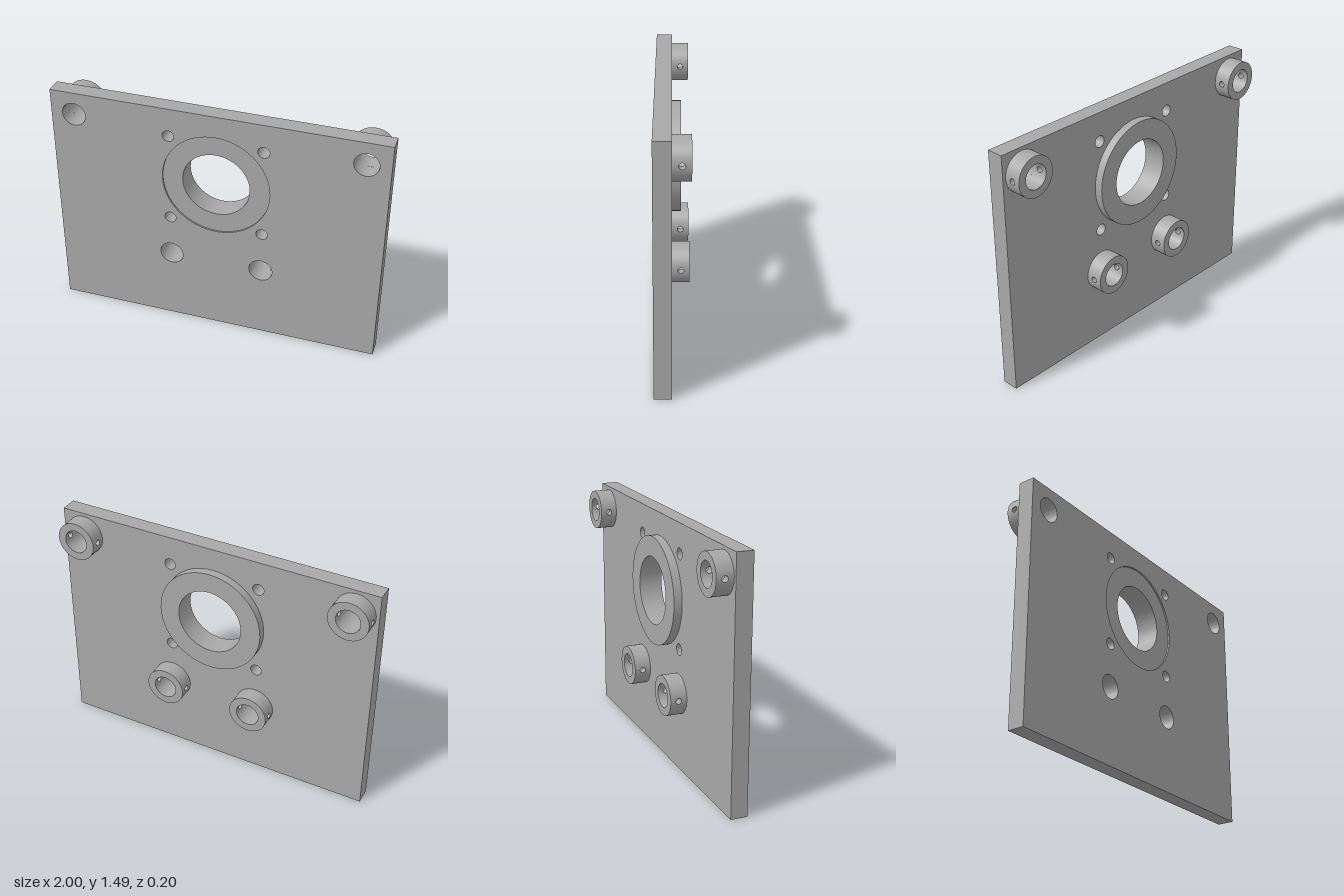
import * as THREE from 'three';
import { mergeGeometries, toCreasedNormals } from 'three/addons/utils/BufferGeometryUtils.js';
import { ParametricGeometry } from 'three/addons/geometries/ParametricGeometry.js';

const T = 0.1;                                        // plate thickness
const CENTRE = { x: 0, y: 1.025, r: 0.325, bore: 0.203 };
const BOSS = { outer: 0.12, inner: 0.072, depth: 0.1, pin: 0.018 };
const bossSpots = [[-0.86, 1.345], [0.86, 1.345], [-0.281, 0.473], [0.281, 0.473]];
const screwSpots = [[-0.283, 1.308], [0.283, 1.308], [-0.283, 0.742], [0.283, 0.742]];

const circle = (C, x, y, r) => new C().absarc(x, y, r, 0, Math.PI * 2, false);

// Extrude along z with smooth round walls and sharp edges
function extrude(shape, z0, z1) {
  const g = new THREE.ExtrudeGeometry(shape, { depth: z1 - z0, bevelEnabled: false, curveSegments: 32 });
  return toCreasedNormals(g.translate(0, 0, z0), 0.5);
}

// Half of a tube wall, from a cross-drilled pin hole out to the half's edges
function halfWall(rho, dir) {
  return new ParametricGeometry((u, v, p) => {
    const a = u * Math.PI * 2, c = Math.cos(a), s = dir * Math.sin(a);
    const m = Math.max(Math.abs(c), Math.abs(s));
    const phi = THREE.MathUtils.lerp(Math.asin(BOSS.pin * c / rho), c / m * Math.PI / 2, v);
    const z = THREE.MathUtils.lerp(BOSS.pin * s, s / m * BOSS.depth / 2, v);
    p.set(rho * Math.cos(phi), rho * Math.sin(phi), z - BOSS.depth / 2);
  }, 96, 12);
}

// Wall of the pin hole, between the inner and outer tube walls
function pinHole() {
  return new ParametricGeometry((u, v, p) => {
    const a = -u * Math.PI * 2, y = BOSS.pin * Math.cos(a);
    const rho = THREE.MathUtils.lerp(BOSS.inner, BOSS.outer, v);
    p.set(Math.sqrt(rho * rho - y * y), y, BOSS.pin * Math.sin(a) - BOSS.depth / 2);
  }, 96, 1);
}

// Socket: a short tube drilled through from side to side
function socketGeometry() {
  const half = [halfWall(BOSS.outer, -1), halfWall(BOSS.inner, 1), pinHole()];
  const other = half.map((g) => g.clone().rotateZ(Math.PI));
  const rim = new THREE.RingGeometry(BOSS.inner, BOSS.outer, 64, 1)
    .rotateY(Math.PI).translate(0, 0, -BOSS.depth);
  return mergeGeometries([...half, ...other, rim]);
}

export function createModel() {
  const model = new THREE.Group();
  model.name = 'mountingPlate';
  const metal = new THREE.MeshStandardMaterial({ color: 0xa8a8a8 });
  metal.name = 'grey metal';
  const add = (name, geometry) => {
    const mesh = new THREE.Mesh(geometry, metal);
    mesh.name = name;
    model.add(mesh);
    return mesh;
  };

  // Plate with all its holes
  const outline = new THREE.Shape([[-1, 0], [1, 0], [1, 1.485], [-1, 1.485]]
    .map(([x, y]) => new THREE.Vector2(x, y)));
  outline.holes.push(circle(THREE.Path, CENTRE.x, CENTRE.y, CENTRE.r));
  for (const [x, y] of bossSpots) outline.holes.push(circle(THREE.Path, x, y, BOSS.inner));
  for (const [x, y] of screwSpots) outline.holes.push(circle(THREE.Path, x, y, 0.035));
  add('plate', extrude(outline, 0, T));

  // Bearing ring: slightly sunk at the front, standing proud at the back
  const ring = circle(THREE.Shape, CENTRE.x, CENTRE.y, CENTRE.r);
  ring.holes.push(circle(THREE.Path, CENTRE.x, CENTRE.y, CENTRE.bore));
  add('bearingRing', extrude(ring, -0.05, T - 0.01));

  // Four sockets on the back
  const socket = socketGeometry();
  bossSpots.forEach(([x, y], i) => add(`socket${i + 1}`, socket).position.set(x, y, 0));

  return model;
}
